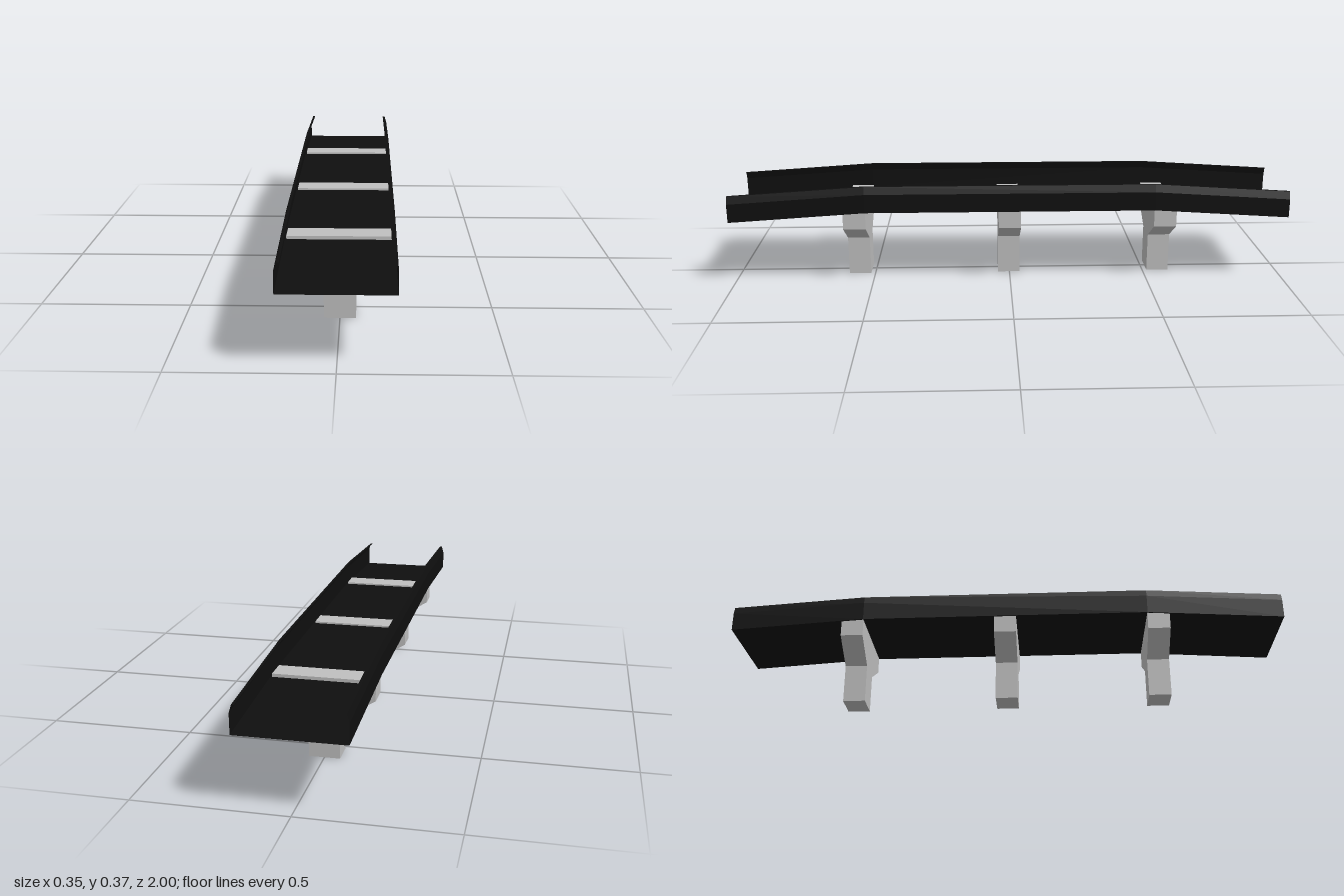
import * as THREE from 'three';

export function createModel() {
  const model = new THREE.Group();
  model.name = 'bridge';

  const blackSheet = new THREE.MeshStandardMaterial({ color: 0x0f0f0f, side: THREE.DoubleSide });
  blackSheet.name = 'blackSheet';
  const concrete = new THREE.MeshStandardMaterial({ color: 0xc0c0c0 });
  concrete.name = 'concrete';

  // Lengthwise stations: [z, height of the deck]; both ends ramp down
  const stations = [[1, 0.241], [0.517, 0.272], [-0.517, 0.272], [-1, 0.241]];

  // Sweeps an open cross-section [x, height above deck] along the stations
  function sweep(name, section) {
    const points = [], index = [], n = section.length;
    for (const [z, y] of stations) {
      for (const [x, h] of section) points.push(x, y + h, z);
    }
    for (let s = 0; s < stations.length - 1; s++) {
      for (let i = 0; i < n - 1; i++) {
        const a = s * n + i, b = a + 1, c = a + n, d = c + 1;
        index.push(a, b, d, a, d, c);
      }
    }
    let geometry = new THREE.BufferGeometry();
    geometry.setAttribute('position', new THREE.Float32BufferAttribute(points, 3));
    geometry.setIndex(index);
    geometry = geometry.toNonIndexed(); // crisp folds
    geometry.computeVertexNormals();
    const mesh = new THREE.Mesh(geometry, blackSheet);
    mesh.name = name;
    model.add(mesh);
  }

  // Road surface
  sweep('deck', [[-0.174, 0], [0.174, 0]]);

  // Side walls with a bevelled, inward-turned lip
  const wall = [[0.174, 0], [0.174, 0.067], [0.166, 0.094], [0.157, 0.094]];
  sweep('leftWall', wall.slice().reverse());
  sweep('rightWall', wall.map(([x, h]) => [-x, h]));

  // Hammerhead piers, whose tops show just above the deck
  const half = [[0.052, 0], [0.052, 0.14], [0.169, 0.21], [0.169, 0.278]];
  const outline = [...half, ...half.map(([x, y]) => [-x, y]).reverse()];
  const pierShape = new THREE.Shape(outline.map(([x, y]) => new THREE.Vector2(x, y)));
  const depth = 0.08;
  const pierGeometry = new THREE.ExtrudeGeometry(pierShape, { depth, bevelEnabled: false });
  pierGeometry.translate(0, 0, -depth / 2);
  [['frontPier', 0.556], ['middlePier', 0.002], ['backPier', -0.556]].forEach(([name, z]) => {
    const pier = new THREE.Mesh(pierGeometry, concrete);
    pier.name = name;
    pier.position.z = z;
    model.add(pier);
  });

  return model;
}
